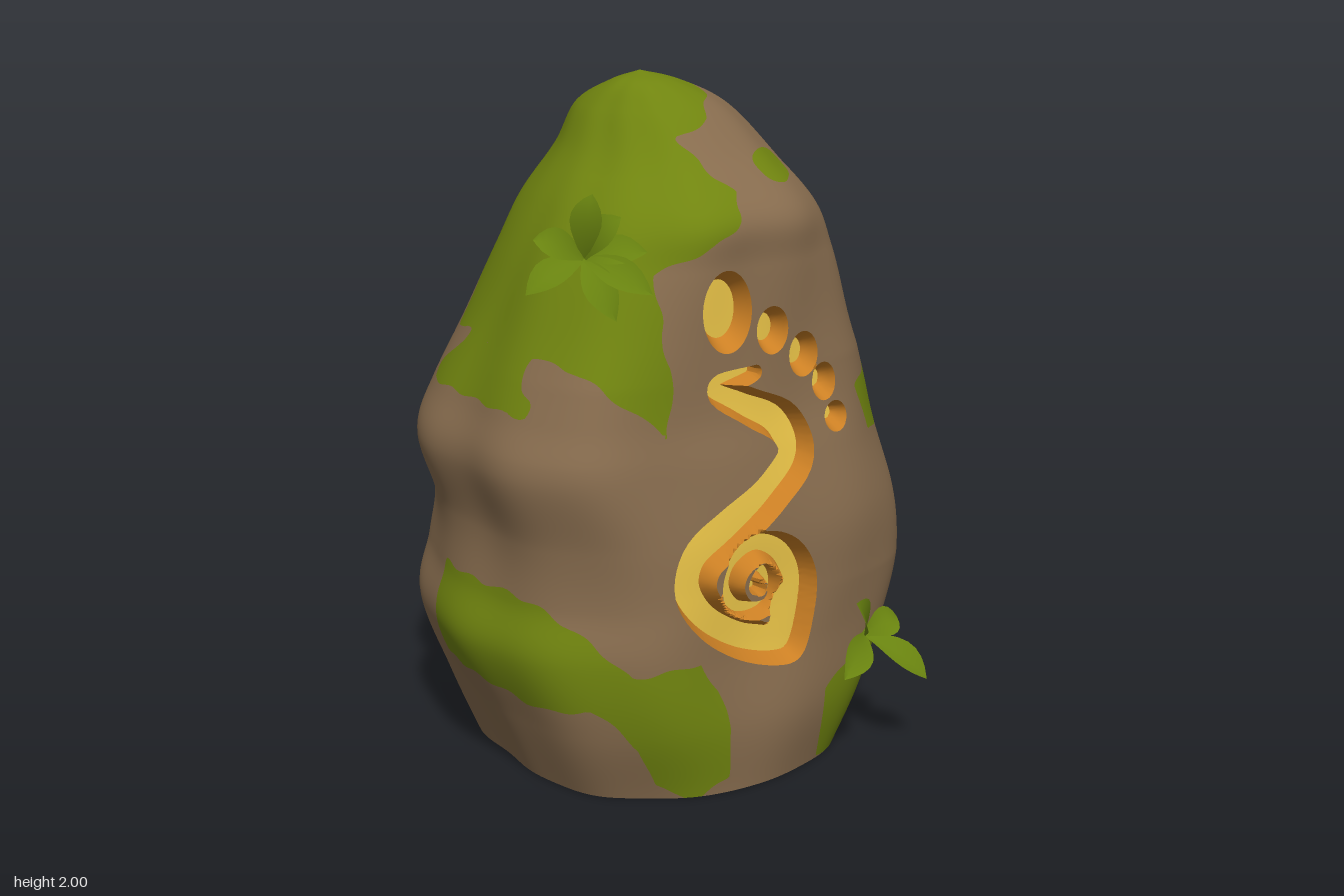
import * as THREE from 'three';
import { toCreasedNormals } from 'three/addons/utils/BufferGeometryUtils.js';

const mat = (name, color, extra = {}) => Object.assign(new THREE.MeshStandardMaterial({ color, ...extra }), { name });
const { clamp, smoothstep } = THREE.MathUtils;

// Boulder outline by height: y, left x, right x, front z, back z
const ROWS = [
  [0, -0.535, 0.5, 0.585, -0.555], [0.2, -0.61, 0.58, 0.61, -0.62], [0.42, -0.69, 0.67, 0.59, -0.675],
  [0.58, -0.655, 0.695, 0.58, -0.68], [0.75, -0.645, 0.68, 0.575, -0.655], [0.95, -0.69, 0.64, 0.545, -0.67],
  [1.1, -0.635, 0.61, 0.515, -0.655], [1.3, -0.54, 0.53, 0.497, -0.57], [1.5, -0.45, 0.47, 0.487, -0.48],
  [1.64, -0.37, 0.42, 0.475, -0.455], [1.78, -0.27, 0.335, 0.32, -0.35], [1.9, -0.205, 0.225, 0.2, -0.275],
  [1.97, -0.135, 0.07, 0.1, -0.1], [2, -0.05, -0.05, 0, 0],
];
const widths = new THREE.CatmullRomCurve3(ROWS.map((r) => new THREE.Vector3(r[1], r[0], r[2])), false, 'catmullrom');
const depths = new THREE.CatmullRomCurve3(ROWS.map((r) => new THREE.Vector3(r[3], r[0], r[4])), false, 'catmullrom');

// Carved stroke and spiral: x, y, half width in hundredths
const STROKE = [
  [3, 120.5, 2.2], [-9.5, 117.5, 4], [1, 111, 5.3], [13, 104, 6.3], [15.5, 96, 6.5], [6, 87, 6.3], [-8.5, 78, 7],
  [-19, 70.5, 7], [-21, 62.5, 6.6], [-16, 53.5, 6], [-4, 45, 6], [6.5, 41.5, 6], [11.5, 40, 4.5],
  [11.5, 48.5, 7.6], [14.5, 60, 5.6], [10, 68, 5.2], [1.5, 71.5, 4.6], [-6.5, 67, 4], [-8.5, 60, 3.7],
  [-4, 53.5, 3.2], [3.5, 53.8, 2.8], [6, 59, 2.6], [4, 63.5, 2.5], [0.5, 63.5, 2.4], [-1.2, 60.5, 2.2], [1, 59, 1.9],
];
const stroke = new THREE.CatmullRomCurve3(STROKE.map((p) => new THREE.Vector3(...p).multiplyScalar(0.01))).getPoints(150);
// Carved toes: x, y, half width, half height
const TOES = [
  [-0.06, 1.385, 0.083, 0.115], [0.095, 1.315, 0.057, 0.068], [0.21, 1.23, 0.056, 0.065],
  [0.285, 1.14, 0.046, 0.055], [0.32, 1.035, 0.045, 0.044],
];
const WALL = 0.024, DEPTH = 0.058;

// Distance to a segment and the place along it
function segment(x, y, ax, ay, bx, by) {
  const dx = bx - ax, dy = by - ay;
  const t = clamp(((x - ax) * dx + (y - ay) * dy) / (dx * dx + dy * dy || 1), 0, 1);
  return [Math.hypot(x - ax - dx * t, y - ay - dy * t), t];
}

// Negative inside the carving; walls get thinner where the stroke is narrow
function carving(x, y, z) {
  if (z < 0.25 || Math.abs(x) > 0.45 || y < 0.25 || y > 1.6) return 0.2;
  let best = 0.2;
  for (let i = 0; i < stroke.length - 1; i++) {
    const a = stroke[i], b = stroke[i + 1];
    const [d, t] = segment(x, y, a.x, a.y, b.x, b.y);
    const r = a.z + (b.z - a.z) * t;
    best = Math.min(best, (d - r) * Math.max(1, WALL / (0.5 * r)));
  }
  for (const [cx, cy, rx, ry] of TOES) {
    best = Math.min(best, (Math.hypot((x - cx) / rx, (y - cy) / ry) - 1) * rx);
  }
  return best;
}

// Negative inside a closed outline
function outline(x, y, pts) {
  let dist = 9, inside = false;
  pts.forEach(([ax, ay], i) => {
    const [bx, by] = pts[(i + 1) % pts.length];
    dist = Math.min(dist, segment(x, y, ax, ay, bx, by)[0]);
    if (ay > y !== by > y && x < ((bx - ax) * (y - ay)) / (by - ay) + ax) inside = !inside;
  });
  return inside ? -dist : dist;
}

// Moss outlines, in x/y for the front ones and z/y for the side ones
const CROWN = [
  [0.1, 2.1], [0.1, 1.94], [0.04, 1.88], [-0.07, 1.83], [-0.02, 1.74], [0.02, 1.7], [0, 1.64], [-0.1, 1.57],
  [-0.27, 1.5], [-0.26, 1.35], [-0.24, 1.25], [-0.26, 1.04], [-0.35, 1.13], [-0.48, 1.25], [-0.54, 1.27],
  [-0.6, 1.11], [-0.8, 1.11], [-0.8, 2.1],
];
const FOOT = [
  [-0.8, 0.62], [-0.62, 0.6], [-0.5, 0.5], [-0.4, 0.4], [-0.2, 0.42], [-0.14, 0.33], [-0.1, 0.2], [-0.11, 0.05],
  [-0.2, 0], [-0.32, 0.04], [-0.37, 0.17], [-0.5, 0.3], [-0.6, 0.28], [-0.8, 0.36],
];
const FLANK = [
  [0.43, 1.1], [0.44, 0.95], [0.24, 0.96], [0.2, 0.99], [-0.07, 0.98], [-0.18, 1.02], [-0.28, 1.15],
  [-0.33, 1.32], [-0.07, 1.34], [0.11, 1.31], [0.24, 1.2],
];
const CORNER = [[0.7, 0.36], [0.56, 0.35], [0.4, 0.34], [0.24, 0.25], [0.18, 0.12], [0.2, 0.02], [0.4, -0.01], [0.7, 0.02]];

// Negative inside moss
function moss(x, y, z) {
  const wobble = 0.006 * (Math.sin(x * 37 + y * 23) + Math.sin(z * 41 - y * 29));
  return wobble + Math.min(
    Math.max(outline(x, y, CROWN), -0.26 + 0.13 * smoothstep(x, -0.2, -0.1) - z),
    Math.max(outline(x, y, FOOT), -0.1 - z),
    Math.max(outline(z, y, FLANK), 0.3 - x),
    Math.max(outline(z, y, CORNER), 0.24 - x, y - 0.1 - 0.6 * x),
    z < 0 ? 1 : (Math.hypot((x - 0.21) / 0.09, (y - 1.745) / 0.042) - 1) * 0.05,
  );
}

// One point of the boulder: [x, y, z, carving, moss]
function rockPoint(u, v) {
  const k = u * 2 - 1;
  const angle = Math.PI * (0.42 * k + 0.58 * k ** 3); // finer at the front
  const w = widths.getPoint(v), d = depths.getPoint(v), y = w.y;
  const s = Math.sin(angle), c = Math.cos(angle);
  // squarish front, rounder back
  const front = Math.max(2, Math.min(2.4 + (s > 0 ? 1.8 : 1) * y, 3.4, 3.4 - (y - 1.2) * 2.6));
  const n = c > 0 ? front : 2.25 - 0.15 * y;
  const a = Math.max(1e-4, (w.z - w.x) / 2), b = Math.max(1e-4, (d.x - d.z) / 2);
  // irregular dents
  const lumps = 1 + 0.006 * (Math.sin(7 * s + 5 * y + 2 * c) + Math.sin(6 * c - 8 * y + 3 * s + 1)
    + Math.sin(9 * s - 6 * y - 7 * c + 2) + Math.sin(11 * c + 4 * y + 8 * s));
  const r = lumps / (Math.abs(s / a) ** n + Math.abs(c / b) ** n) ** (1 / n);
  const x = (w.x + w.z) / 2 + r * s;
  const z = (d.x + d.z) / 2 + r * c - 0.05 * x * Math.max(0, c);
  return [x, y, z, carving(x, y, z), moss(x, y, z)];
}

// Cut triangles where value k crosses a level: [below, above]
function split(tris, k, level) {
  const out = [[], []];
  const cut = (p, q) => {
    const t = (level - p[k]) / (q[k] - p[k]);
    return p.map((value, i) => value + (q[i] - value) * t);
  };
  for (const tri of tris) {
    const side = tri.map((p) => (p[k] >= level ? 1 : 0));
    const sum = side[0] + side[1] + side[2];
    if (sum % 3 === 0) { out[side[0]].push(tri); continue; }
    const i = side.indexOf(sum === 1 ? 1 : 0);
    const a = tri[i], b = tri[(i + 1) % 3], c = tri[(i + 2) % 3];
    const ab = cut(a, b), ac = cut(a, c);
    out[side[i]].push([a, ab, ac]);
    out[1 - side[i]].push([ab, b, c], [ab, c, ac]);
  }
  return out;
}

function rockGeometry() {
  const U = 220, V = 210, tris = [];
  const grid = Array.from({ length: V + 1 }, (_, j) => Array.from({ length: U }, (_, i) => rockPoint(i / U, j / V)));
  for (let i = 0; i < U; i++) {
    const n = (i + 1) % U;
    tris.push([[0, 0, 0, 0.2, 1], grid[0][n], grid[0][i]]); // flat underside
    for (let j = 0; j < V; j++) {
      const a = grid[j][i], b = grid[j][n], c = grid[j + 1][i], d = grid[j + 1][n];
      tris.push([a, b, d]);
      if (j < V - 1) tris.push([a, d, c]);
    }
  }
  // stone, moss, carved walls, carved floor
  const [carved, plain] = split(tris, 3, 0);
  const [floor, walls] = split(carved, 3, -WALL);
  const [green, stone] = split(plain, 4, 0);
  const geo = new THREE.BufferGeometry(), positions = [];
  [stone, green, walls, floor].forEach((list, m) => {
    geo.addGroup(positions.length / 3, list.length * 3, m);
    for (const tri of list) {
      for (const [x, y, z, g] of tri) positions.push(x, y, z - DEPTH * clamp(-g / WALL, 0, 1));
    }
  });
  geo.setAttribute('position', new THREE.Float32BufferAttribute(positions, 3));
  // creasing matches corners to 0.01, so it is done at a larger scale
  return toCreasedNormals(geo.scale(10, 10, 10), 0.6).scale(0.1, 0.1, 0.1);
}

// A folded, arching leaf from root to tip
function leafGeometry(root, tip, out, width) {
  const mid = root.clone().lerp(tip, 0.5).addScaledVector(out, 0.045);
  const curve = new THREE.QuadraticBezierCurve3(root, mid, tip);
  const N = 8, positions = [], index = [];
  for (let i = 0; i <= N; i++) {
    const t = i / N, p = curve.getPoint(t), dir = curve.getTangent(t);
    const side = new THREE.Vector3().crossVectors(dir, out).normalize();
    const up = new THREE.Vector3().crossVectors(side, dir);
    const w = width * (0.2 * (1 - t) + Math.sin(Math.PI * t ** 1.2));
    for (const s of [-1, 0, 1]) {
      positions.push(...p.clone().addScaledVector(side, s * w).addScaledVector(up, s ? w * 0.3 : 0).toArray());
    }
    if (i < N) for (const k of [i * 3, i * 3 + 1]) index.push(k, k + 1, k + 4, k, k + 4, k + 3);
  }
  const geo = new THREE.BufferGeometry();
  geo.setAttribute('position', new THREE.Float32BufferAttribute(positions, 3));
  geo.setIndex(index);
  geo.computeVertexNormals();
  return geo;
}

// Sprouts: root, outward direction, leaf tips
const SPROUTS = [
  { name: 'upperSprout', root: [-0.41, 1.54, 0.32], out: [-0.5, 0.6, 0.6],
    tips: [[-0.4, 1.72, 0.35], [-0.595, 1.46, 0.33], [-0.55, 1.6, 0.29], [-0.27, 1.56, 0.42], [-0.39, 1.39, 0.46], [-0.3, 1.46, 0.5], [-0.34, 1.66, 0.4]] },
  { name: 'lowerSprout', root: [0.41, 0.36, 0.53], out: [0.1, 0.62, 0.78],
    tips: [[0.32, 0.5, 0.61], [0.24, 0.3, 0.67], [0.54, 0.24, 0.67], [0.52, 0.4, 0.54]] },
];

export function createModel() {
  const model = new THREE.Group();
  model.name = 'carvedBoulder';
  const rock = new THREE.Mesh(rockGeometry(), [
    mat('stone', 0x876c4e), mat('moss', 0x70840f), mat('carvedWall', 0xcc8024), mat('carvedFloor', 0xf0c94a),
  ]);
  rock.name = 'boulder';
  model.add(rock);

  const leafMat = mat('leaf', 0x68820f, { side: THREE.DoubleSide });
  for (const { name, root, out, tips } of SPROUTS) {
    const sprout = new THREE.Group();
    sprout.name = name;
    for (const tip of tips) {
      const geo = leafGeometry(new THREE.Vector3(...root), new THREE.Vector3(...tip), new THREE.Vector3(...out).normalize(), 0.042);
      const leaf = new THREE.Mesh(geo, leafMat);
      leaf.name = 'leaf';
      sprout.add(leaf);
    }
    model.add(sprout);
  }
  return model;
}
